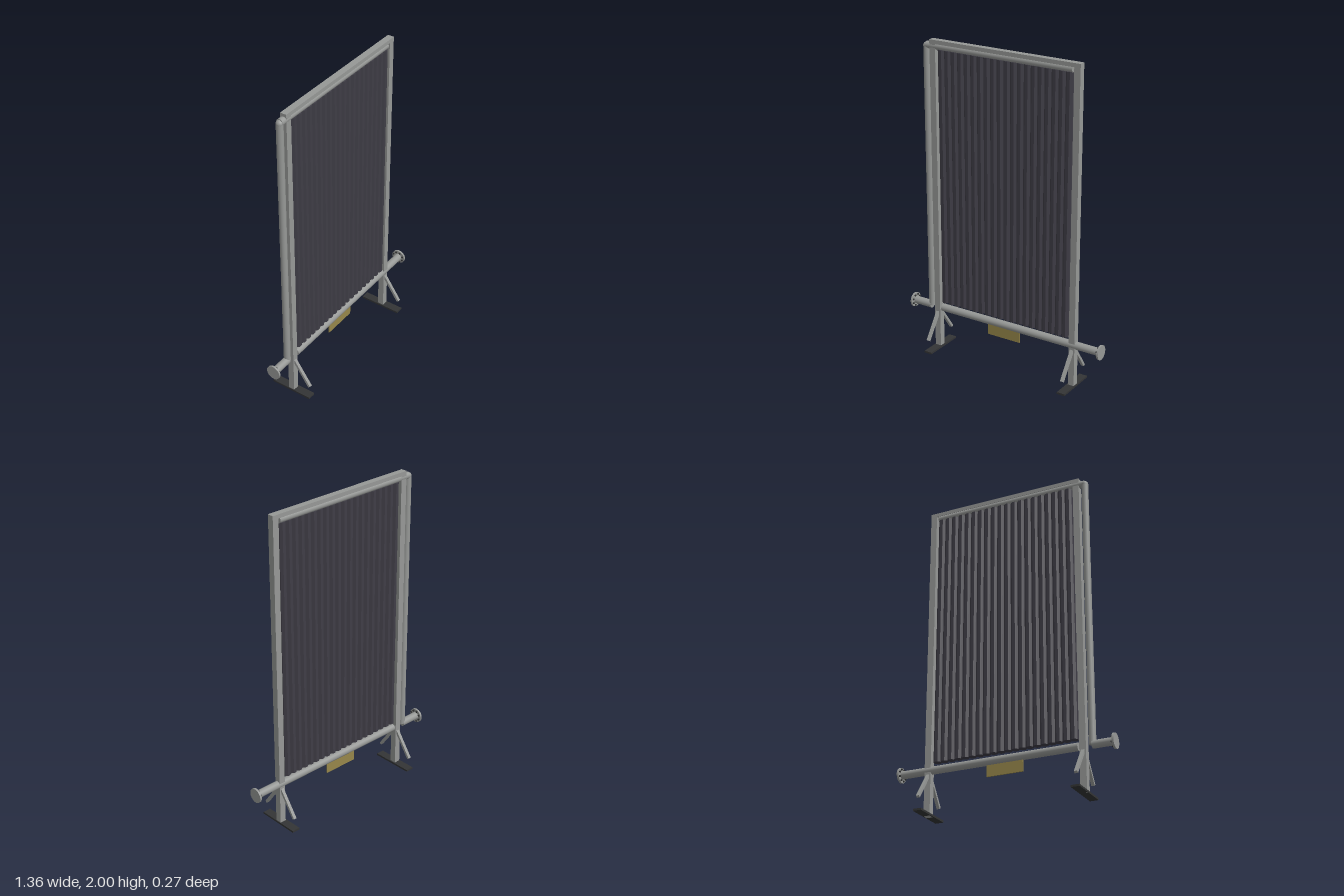
import * as THREE from 'three';

export function createModel() {
  const model = new THREE.Group();
  model.name = 'panelCollector';

  const steel = new THREE.MeshStandardMaterial({ color: 0x969896 });
  steel.name = 'grey steel';
  const dark = new THREE.MeshStandardMaterial({ color: 0x3f3d46 });
  dark.name = 'dark tube';
  dark.flatShading = true;
  const black = new THREE.MeshStandardMaterial({ color: 0x333435 });
  black.name = 'black foot';
  const brass = new THREE.MeshStandardMaterial({ color: 0x96864a });
  brass.name = 'brass plate';

  function add(name, geometry, material, x, y, z, parent = model) {
    const mesh = new THREE.Mesh(geometry, material);
    mesh.name = name;
    mesh.position.set(x, y, z);
    parent.add(mesh);
    return mesh;
  }
  const box = (name, mat, w, h, d, x, y, z, parent) =>
    add(name, new THREE.BoxGeometry(w, h, d), mat, x, y, z, parent);

  // Horizontal pipe between two x positions
  function pipe(name, x0, x1, y, r, mat = steel, z = 0, sides = 24) {
    const g = new THREE.CylinderGeometry(r, r, x1 - x0, sides).rotateZ(Math.PI / 2);
    return add(name, g, mat, (x0 + x1) / 2, y, z);
  }

  const PIPE_Y = 0.277;

  // Square frame
  box('topBeam', steel, 1.015, 0.024, 0.04, 0, 1.988, 0);
  for (const s of [-1, 1]) {
    const side = s > 0 ? 'left' : 'right';
    box(side + 'Post', steel, 0.04, 1.976, 0.04, s * 0.487, 0.988, 0);
    box(side + 'Foot', black, 0.052, 0.012, 0.272, s * 0.485, 0.006, 0);

    // Splayed braces, ending above the foot
    for (const f of [-1, 1]) {
      const top = new THREE.Vector2(f * 0.01, 0.25);
      const end = new THREE.Vector2(f * 0.126, 0.085);
      const length = top.distanceTo(end);
      const brace = box(side + 'Brace', steel, 0.02, length, 0.016,
        s * 0.487, (top.y + end.y) / 2, (top.x + end.x) / 2);
      brace.rotation.x = Math.atan2(top.x - end.x, top.y - end.y);
    }

    // End flange with bolt heads on its inner face
    pipe(side + 'Flange', s > 0 ? 0.667 : -0.679, s > 0 ? 0.679 : -0.667, PIPE_Y, 0.046, steel, 0, 32);
    for (let i = 0; i < 8; i++) {
      const a = (i + 0.5) * Math.PI / 4;
      pipe(side + 'FlangeBolt', s * 0.664 - 0.004, s * 0.664 + 0.004,
        PIPE_Y + Math.sin(a) * 0.036, 0.006, black, Math.cos(a) * 0.036, 6);
    }
  }

  // Header pipes and the riser that joins them
  pipe('lowerHeader', -0.457, 0.67, PIPE_Y, 0.024);
  pipe('inletStub', -0.67, -0.54, PIPE_Y, 0.024);
  pipe('upperHeader', -0.54, 0.455, 1.961, 0.022);
  add('riserPipe', new THREE.CylinderGeometry(0.021, 0.021, 1.68, 24), steel, -0.54, 1.117, 0);
  // Rounded elbow at the riser top
  add('riserElbow', new THREE.SphereGeometry(0.0215, 20, 12), steel, -0.54, 1.957, 0);

  // Row of vertical tubes
  const tubes = new THREE.Group();
  tubes.name = 'tubePanel';
  model.add(tubes);
  const count = 20, pitch = 0.91 / count;
  const r = pitch / 2 / Math.cos(Math.PI / 8);
  const tubeGeometry = new THREE.CylinderGeometry(r, r, 1.625, 8).rotateY(Math.PI / 8);
  for (let i = 0; i < count; i++) {
    add('tube', tubeGeometry, dark, (i - (count - 1) / 2) * pitch, 1.1325, 0, tubes);
  }

  // Plate hanging under the lower header
  box('namePlate', brass, 0.227, 0.075, 0.008, -0.002, 0.222, 0);

  return model;
}
